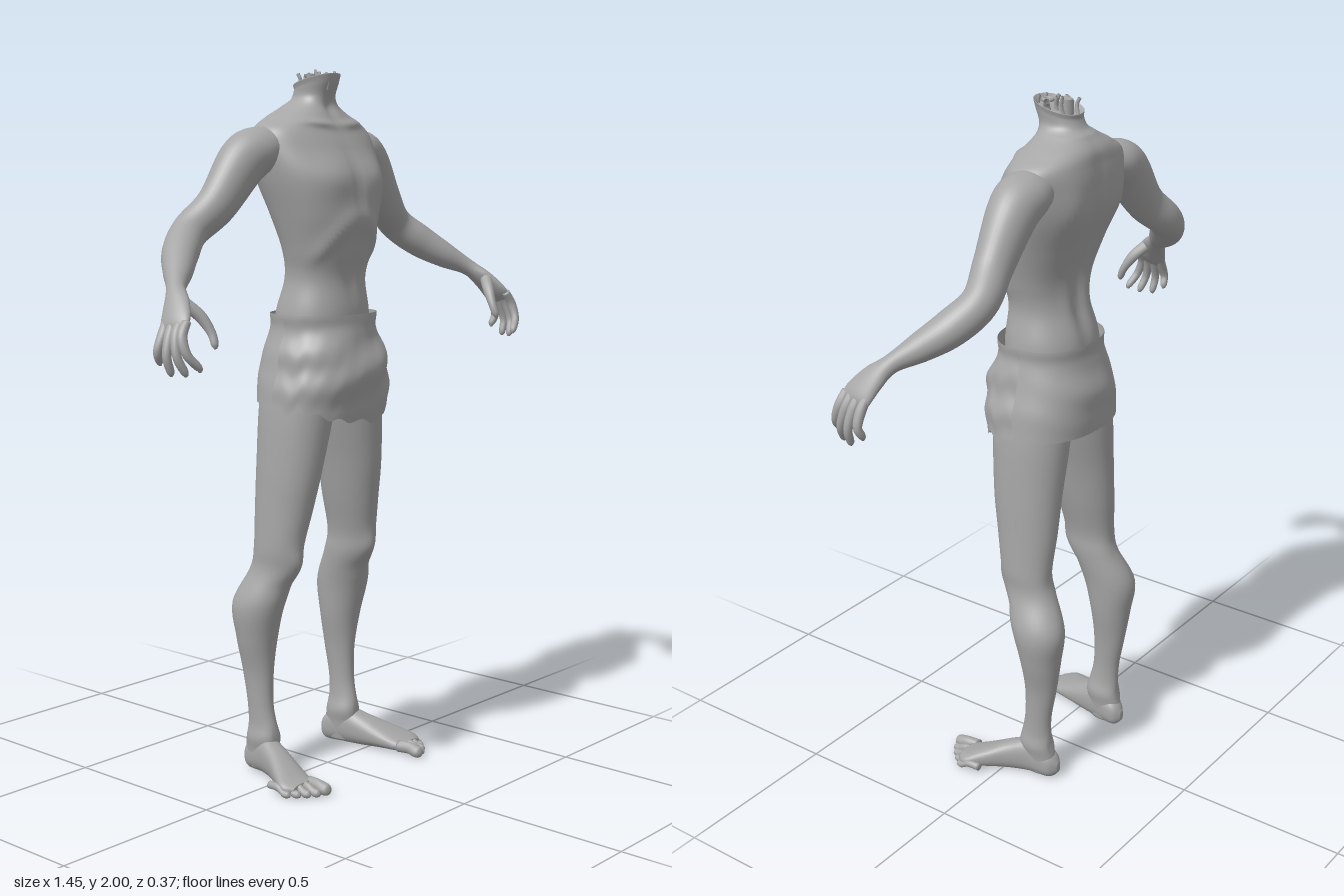
import * as THREE from 'three';

const V = (x, y, z) => new THREE.Vector3(x, y, z);
const bump = (d, w) => Math.exp(-(d * d) / (w * w));
const clamp = THREE.MathUtils.clamp;
const skin = new THREE.MeshStandardMaterial({ name: 'plain grey', color: 0xa6a6a6, side: THREE.DoubleSide });

// Smooth interpolation through rows of numbers
function sample(rows, t) {
  const f = clamp(t, 0, 1) * (rows.length - 1);
  const i = Math.min(Math.floor(f), rows.length - 2), k = f - i;
  const at = (j) => rows[clamp(j, 0, rows.length - 1)];
  return rows[0].map((_, c) => {
    const [a, b, d, e] = [at(i - 1)[c], at(i)[c], at(i + 1)[c], at(i + 2)[c]];
    return b + 0.5 * k * (d - a + k * (2 * a - 5 * b + 4 * d - e + k * (3 * (b - d) + e - a)));
  });
}

// Closed skin over rows of [x, y, z, radiusU, radiusV]; axis fixes the ring plane
function loft(rows, { ref = V(1, 0, 0), axis = null, sides = 32, steps = 48, power = 2, sculpt = null } = {}) {
  const pos = [], idx = [];
  const curve = (t) => V(...sample(rows, t).slice(0, 3));
  const round = (s) => Math.sign(s) * Math.abs(s) ** (2 / power);
  for (let i = 0; i <= steps; i++) {
    const t = i / steps, [x, y, z, ra, rb] = sample(rows, t);
    const dir = axis || curve(t + 0.01).sub(curve(t - 0.01)).normalize();
    const u = ref.clone().addScaledVector(dir, -ref.dot(dir)).normalize();
    const v = dir.clone().cross(u);
    for (let j = 0; j < sides; j++) {
      const a = (j / sides) * Math.PI * 2;
      const p = V(x, y, z).addScaledVector(u, round(Math.cos(a)) * ra).addScaledVector(v, round(Math.sin(a)) * rb);
      if (sculpt) sculpt(p, (p.z - z) / rb);
      pos.push(p.x, p.y, p.z);
      if (i < steps) {
        const b = i * sides, k = (j + 1) % sides;
        idx.push(b + j, b + k, b + sides + j, b + k, b + sides + k, b + sides + j);
      }
    }
  }
  // End caps
  [0, steps].forEach((i) => {
    const c = pos.length / 3;
    pos.push(...sample(rows, i / steps).slice(0, 3));
    for (let j = 0; j < sides; j++) {
      const a = i * sides + j, b = i * sides + ((j + 1) % sides);
      idx.push(...(i ? [a, b, c] : [b, a, c]));
    }
  });
  const g = new THREE.BufferGeometry();
  g.setAttribute('position', new THREE.Float32BufferAttribute(pos, 3));
  g.setIndex(idx);
  g.computeVertexNormals();
  return g;
}

function part(parent, name, geometry) {
  const m = new THREE.Mesh(geometry, skin);
  m.name = name;
  parent.add(m);
  return m;
}

// Chest, ribs, collarbones, spine and shoulder blades
function sculptTorso(p, w) {
  const x = Math.abs(p.x), y = p.y;
  if (w > 0) {
    const f = Math.min(1, w * 1.5);
    p.z += f * (0.010 * bump(y - (1.59 - 7 * x * x), 0.035) + 0.012 * bump(x - 0.09, 0.06) * bump(y - 1.7, 0.05)
      - 0.005 * bump(x, 0.015) * bump(y - 1.68, 0.1) - 0.006 * bump(x, 0.02) * bump(y - 1.45, 0.07)
      + 0.010 * bump(y - (1.845 + 0.1 * (x - 0.03)), 0.012) * bump(x - 0.08, 0.07)
      - 0.010 * bump(x, 0.018) * bump(y - 1.89, 0.03));
  } else {
    const f = Math.min(1, -w * 1.5);
    p.z += f * (0.016 * bump(x, 0.022) * bump(y - 1.58, 0.2) - 0.012 * bump(x - 0.11, 0.05) * bump(y - 1.72, 0.08)
      - 0.006 * bump(x - 0.045, 0.025) * bump(y - 1.45, 0.1));
  }
  p.y += 0.25 * (p.z + 0.04) * clamp((y - 1.9) / 0.06, 0, 1);
}

// Kneecap, shin and hollow behind the knee
function sculptLeg(p, w) {
  if (w > 0) p.z += w * (0.012 * bump(p.y - 0.63, 0.04) * bump(p.x - 0.158, 0.035) - 0.006 * bump(p.y - 0.56, 0.025));
  else p.z += -w * 0.006 * bump(p.y - 0.62, 0.05) * bump(p.x - 0.16, 0.03);
  p.x += 0.007 * Math.sign(p.x - 0.176) * bump(p.y - 0.105, 0.025);
}

// Cloth panel hung around the hips: rows of [y, centre z, half width, half depth]
const HIPS = [[1.33, -0.02, 0.146, 0.122], [1.27, -0.02, 0.158, 0.138], [1.20, -0.018, 0.178, 0.162],
  [1.13, -0.02, 0.192, 0.162], [1.06, -0.025, 0.199, 0.154], [0.99, -0.03, 0.2, 0.148]];
function clothPanel(from, to, hem, swell, fold) {
  const g = new THREE.PlaneGeometry(1, 1, 72, 36), p = g.attributes.position;
  for (let i = 0; i < p.count; i++) {
    const a = from + (p.getX(i) + 0.5) * (to - from), t = 0.5 - p.getY(i);
    const y = THREE.MathUtils.lerp(1.325, hem(a), t);
    const [, cz, rx, rz] = sample(HIPS, (1.33 - y) / 0.34);
    const d = swell + fold * Math.sin(t * 14 + Math.cos(a) * 4) * Math.sin(t * Math.PI) + 0.008 * bump(t, 0.1);
    const c = Math.cos(a), s = Math.sin(a);
    p.setXYZ(i, Math.sign(c) * Math.abs(c) ** 0.85 * (rx + d), y, cz + Math.sign(s) * Math.abs(s) ** 0.85 * (rz + d));
  }
  g.computeVertexNormals();
  return g;
}

function makeArm() {
  const arm = new THREE.Group(), Z = V(0, 0, 1);
  part(arm, 'armAndPalm', loft([
    [0.13, 1.785, -0.07, 0.06, 0.045], [0.2, 1.775, -0.075, 0.074, 0.064], [0.26, 1.74, -0.08, 0.066, 0.07],
    [0.35, 1.63, -0.088, 0.052, 0.057], [0.43, 1.562, -0.107, 0.049, 0.05], [0.5, 1.508, -0.072, 0.05, 0.048],
    [0.56, 1.463, -0.02, 0.04, 0.038], [0.615, 1.425, 0.03, 0.026, 0.024], [0.648, 1.388, 0.065, 0.038, 0.021],
    [0.678, 1.345, 0.092, 0.046, 0.017], [0.688, 1.322, 0.1, 0.036, 0.008]], { ref: Z, steps: 72 }));
  // Four fingers, front to back, as [base z, tip x, tip y, tip z]
  [[0.13, 0.67, 1.226, 0.165], [0.108, 0.69, 1.214, 0.136], [0.085, 0.704, 1.214, 0.1], [0.06, 0.704, 1.238, 0.06]]
    .forEach(([z, x, y, tz], i) => part(arm, 'finger' + (i + 1), loft([
      [0.676, 1.35, z, 0.012, 0.012], [0.698, 1.315, z + 0.006, 0.014, 0.014],
      [0.5 * (0.7 + x) + 0.012, 0.5 * (1.315 + y), 0.5 * (z + tz) + 0.005, 0.012, 0.012],
      [x, y + 0.012, tz, 0.010, 0.010], [x - 0.003, y, tz, 0.003, 0.003]], { ref: Z, sides: 12, steps: 20 })));
  part(arm, 'thumb', loft([[0.64, 1.395, 0.08, 0.018, 0.016], [0.612, 1.36, 0.112, 0.017, 0.015],
    [0.598, 1.32, 0.137, 0.012, 0.012], [0.598, 1.29, 0.15, 0.010, 0.010], [0.6, 1.278, 0.152, 0.003, 0.003]],
  { ref: Z, sides: 12, steps: 20 }));
  return arm;
}

function makeLeg() {
  const leg = new THREE.Group();
  part(leg, 'thighAndShin', loft([
    [0.09, 1.2, -0.02, 0.08, 0.1], [0.101, 1.08, -0.025, 0.095, 0.115], [0.128, 0.9, -0.03, 0.079, 0.105],
    [0.143, 0.78, -0.038, 0.068, 0.093], [0.158, 0.67, -0.046, 0.057, 0.08], [0.16, 0.6, -0.062, 0.056, 0.08],
    [0.182, 0.5, -0.102, 0.066, 0.082], [0.181, 0.4, -0.11, 0.056, 0.063], [0.178, 0.3, -0.109, 0.038, 0.05],
    [0.178, 0.2, -0.1, 0.031, 0.042], [0.175, 0.12, -0.092, 0.033, 0.05], [0.174, 0.06, -0.098, 0.034, 0.055],
    [0.173, 0.012, -0.1, 0.028, 0.048]], { axis: V(0, 1, 0), steps: 80, sculpt: sculptLeg }));
  part(leg, 'foot', loft([
    [0.168, 0.036, -0.166, 0.008, 0.014], [0.17, 0.042, -0.142, 0.03, 0.04], [0.178, 0.056, -0.08, 0.036, 0.054],
    [0.195, 0.047, -0.02, 0.042, 0.046], [0.22, 0.034, 0.04, 0.052, 0.033], [0.24, 0.023, 0.09, 0.058, 0.022],
    [0.236, 0.019, 0.122, 0.044, 0.015]], { axis: V(0, 0, 1), power: 2.4 }));
  // Toes, big to little, as [x, tip z, radius]
  [[0.205, 0.188, 0.018], [0.232, 0.176, 0.0125], [0.254, 0.16, 0.012], [0.274, 0.14, 0.0115], [0.292, 0.118, 0.011]]
    .forEach(([x, z, r], i) => part(leg, 'toe' + (i + 1), loft([
      [x - 0.004, 0.022, z - 0.08, r, r], [x, 0.023, z - 0.045, r * 0.9, r], [x, r, z - 0.02, r, r],
      [x, r * 0.95, z - 0.006, r * 0.8, r * 0.8], [x, r * 0.8, z, r * 0.25, r * 0.25]],
    { axis: V(0, 0, 1), sides: 14, steps: 18 })));
  return leg;
}

export function createModel() {
  const model = new THREE.Group();
  model.name = 'headlessFigure';

  part(model, 'torsoAndNeck', loft([
    [0, 1.08, -0.03, 0.1, 0.09], [0, 1.2, -0.025, 0.14, 0.115], [0, 1.32, -0.02, 0.14, 0.118],
    [0, 1.42, -0.01, 0.122, 0.1], [0, 1.5, -0.002, 0.137, 0.108], [0, 1.6, -0.01, 0.166, 0.132],
    [0, 1.7, -0.03, 0.195, 0.143], [0, 1.78, -0.052, 0.208, 0.125], [0, 1.83, -0.064, 0.2, 0.108],
    [0, 1.865, -0.07, 0.142, 0.095], [0, 1.895, -0.066, 0.083, 0.076], [0, 1.92, -0.055, 0.056, 0.065],
    [0, 1.95, -0.042, 0.054, 0.066], [0, 1.968, -0.04, 0.058, 0.068], [0, 1.955, -0.04, 0.045, 0.055]],
  { axis: V(0, 1, 0), sides: 72, steps: 120, power: 2.2, sculpt: sculptTorso }));

  // Arms and legs, left then mirrored to the right
  [['left', 1], ['right', -1]].forEach(([side, s]) => {
    [['Arm', makeArm()], ['Leg', makeLeg()]].forEach(([name, g]) => {
      g.name = side + name;
      g.scale.x = s;
      model.add(g);
    });
  });

  // Loincloth: ragged front panel over a plain back panel, split at the hips
  const frontHem = (a) => 1.1 - 0.07 * Math.sin(a) ** 1.2 - 0.012 * bump(Math.cos(a) - 0.25, 0.25)
    + 0.006 * Math.sin(a * 17) - 0.03 * bump(Math.abs(Math.cos(a)) - 0.98, 0.06);
  part(model, 'loinclothFront', clothPanel(-0.02, Math.PI + 0.02, (a) => frontHem(clamp(a, 0.001, 3.14)), 0.004, 0.005));
  part(model, 'loinclothBack', clothPanel(Math.PI - 0.1, Math.PI * 2 + 0.1, () => 1.076, -0.002, 0.0015));

  // Torn neck: spine stump, windpipe and loose strands
  const neck = new THREE.Group();
  neck.name = 'neckStump';
  part(neck, 'spineStump', new THREE.CylinderGeometry(0.018, 0.02, 0.05, 12)).position.set(0, 1.96, -0.065);
  const pipe = part(neck, 'windpipe', new THREE.TorusGeometry(0.013, 0.005, 8, 18));
  pipe.rotation.x = Math.PI / 2;
  pipe.position.set(0, 1.975, -0.005);
  [[0.028, -0.075, 2.0, 0.004], [-0.02, -0.09, 1.988, 0.005], [-0.032, -0.045, 1.985, 0.009], [0.034, -0.03, 1.982, 0.009],
    [0.012, -0.045, 1.992, 0.005], [-0.014, -0.03, 1.99, 0.005], [0.016, 0.008, 1.992, 0.004], [-0.018, 0.012, 1.988, 0.004]]
    .forEach(([x, z, top, r], i) => {
      const path = new THREE.CatmullRomCurve3([V(x * 0.8, 1.94, z), V(x, 1.97, z + 0.006), V(x * 1.15, top - 0.002, z)]);
      part(neck, 'strand' + (i + 1), new THREE.TubeGeometry(path, 8, r, 8));
    });
  model.add(neck);
  return model;
}
